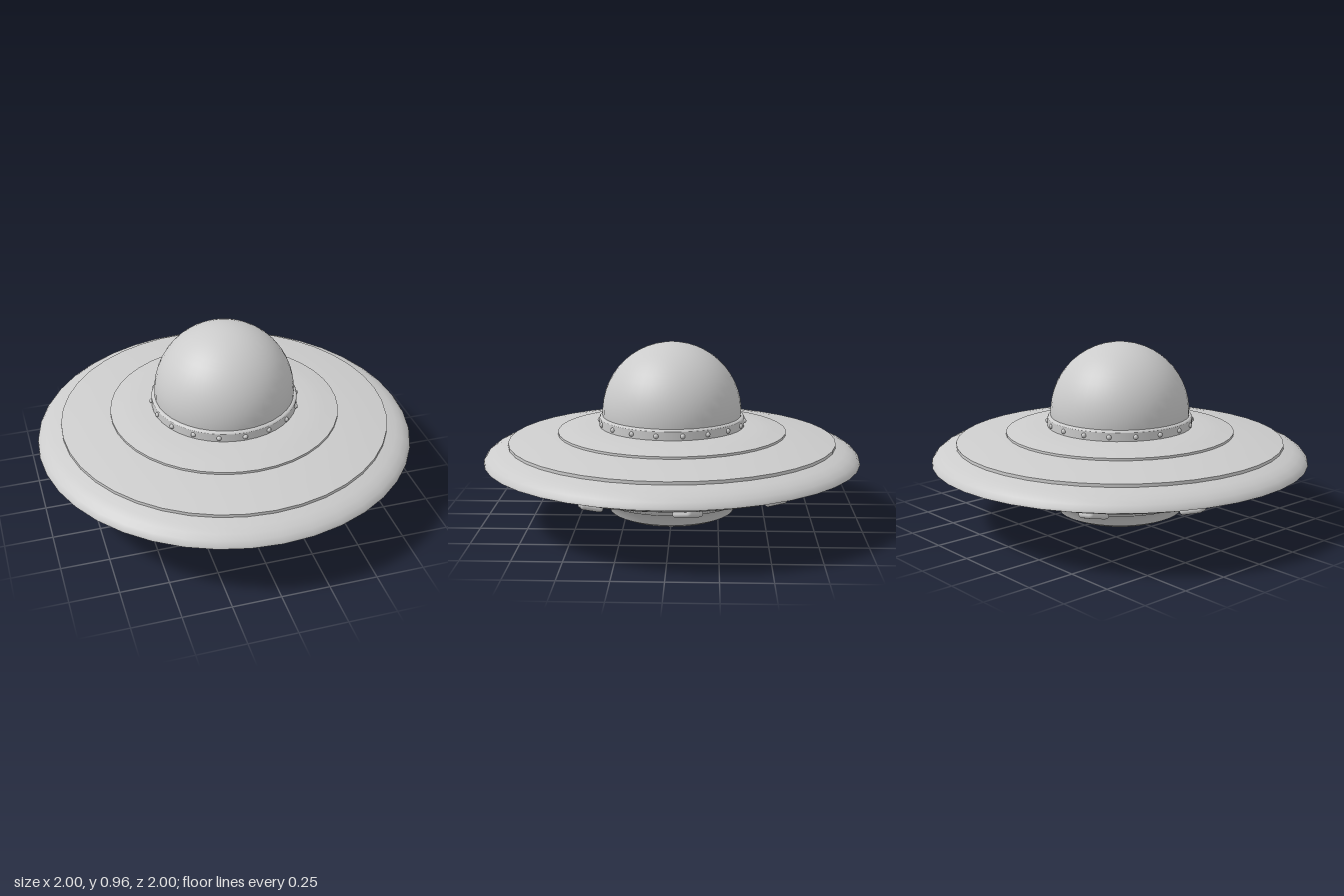
import * as THREE from 'three';
import { RoundedBoxGeometry } from 'three/addons/geometries/RoundedBoxGeometry.js';

const SEGMENTS = 40;

export function createModel() {
  const model = new THREE.Group();
  const material = new THREE.MeshStandardMaterial({ color: 0xcccccc, side: THREE.DoubleSide });

  function add(parent, name, geometry) {
    const mesh = new THREE.Mesh(geometry, material);
    mesh.name = name;
    parent.add(mesh);
    return mesh;
  }

  // Each run of [radius, height] points is smooth; edges between runs stay sharp.
  function turned(name, runs) {
    const group = new THREE.Group();
    group.name = name;
    for (const run of runs) {
      const points = run.map(([r, y]) => new THREE.Vector2(r, y));
      add(group, name + 'Surface', new THREE.LatheGeometry(points, SEGMENTS));
    }
    model.add(group);
  }

  // Landing hatch and belly
  turned('hatch', [
    [[0, 0], [0.152, 0]],
    [[0.152, 0], [0.152, 0.03]],
  ]);
  turned('belly', [
    [[0, 0.026], [0.26, 0.026]],
    [[0.26, 0.026], [0.29, 0.032], [0.335, 0.053]],
    [[0.335, 0.053], [0.352, 0.085], [0.375, 0.115], [0.405, 0.126], [0.43, 0.142], [0.442, 0.172]],
  ]);

  // Saucer: underside, rounded rim and stepped upper plates
  turned('underside', [
    [[0.4, 0.168], [0.44, 0.17], [0.58, 0.203], [0.72, 0.243], [0.86, 0.288], [1, 0.337]],
  ]);
  turned('rim', [
    [[1, 0.337], [0.997, 0.35], [0.982, 0.37], [0.955, 0.39], [0.92, 0.406], [0.87, 0.421]],
  ]);
  turned('upperPlates', [
    [[0.87, 0.421], [0.87, 0.437]],
    [[0.87, 0.437], [0.78, 0.453], [0.68, 0.467], [0.607, 0.475]],
    [[0.607, 0.475], [0.607, 0.487]],
    [[0.607, 0.487], [0.54, 0.499], [0.47, 0.51], [0.37, 0.514]],
  ]);

  // Dome with its collar
  turned('collar', [
    [[0.386, 0.51], [0.386, 0.558]],
    [[0.386, 0.558], [0.382, 0.565], [0.372, 0.568], [0.35, 0.568]],
  ]);
  const dome = add(model, 'dome',
    new THREE.SphereGeometry(0.37, SEGMENTS, 14, 0, Math.PI * 2, 0, Math.PI * 0.56));
  dome.position.y = 0.586;

  // Rivets around the collar
  const rivets = new THREE.Group();
  rivets.name = 'rivets';
  const rivetGeometry = new THREE.SphereGeometry(0.013, 10, 8);
  for (let i = 0; i < 18; i++) {
    const angle = (i * Math.PI) / 9;
    add(rivets, 'rivet', rivetGeometry)
      .position.set(0.385 * Math.sin(angle), 0.535, 0.385 * Math.cos(angle));
  }
  model.add(rivets);

  // Diamond lamps around the underside
  const lamps = new THREE.Group();
  lamps.name = 'lamps';
  const lampGeometry = new RoundedBoxGeometry(0.115, 0.046, 0.115, 3, 0.018);
  for (let i = 0; i < 9; i++) {
    const arm = new THREE.Group();
    arm.name = 'lampMount';
    arm.rotation.y = THREE.MathUtils.degToRad(18 + i * 40);
    const lamp = add(arm, 'lamp', lampGeometry);
    lamp.position.set(0, 0.238, 0.71);
    lamp.rotation.set(-0.3, Math.PI / 4, 0);
    lamps.add(arm);
  }
  model.add(lamps);

  return model;
}
